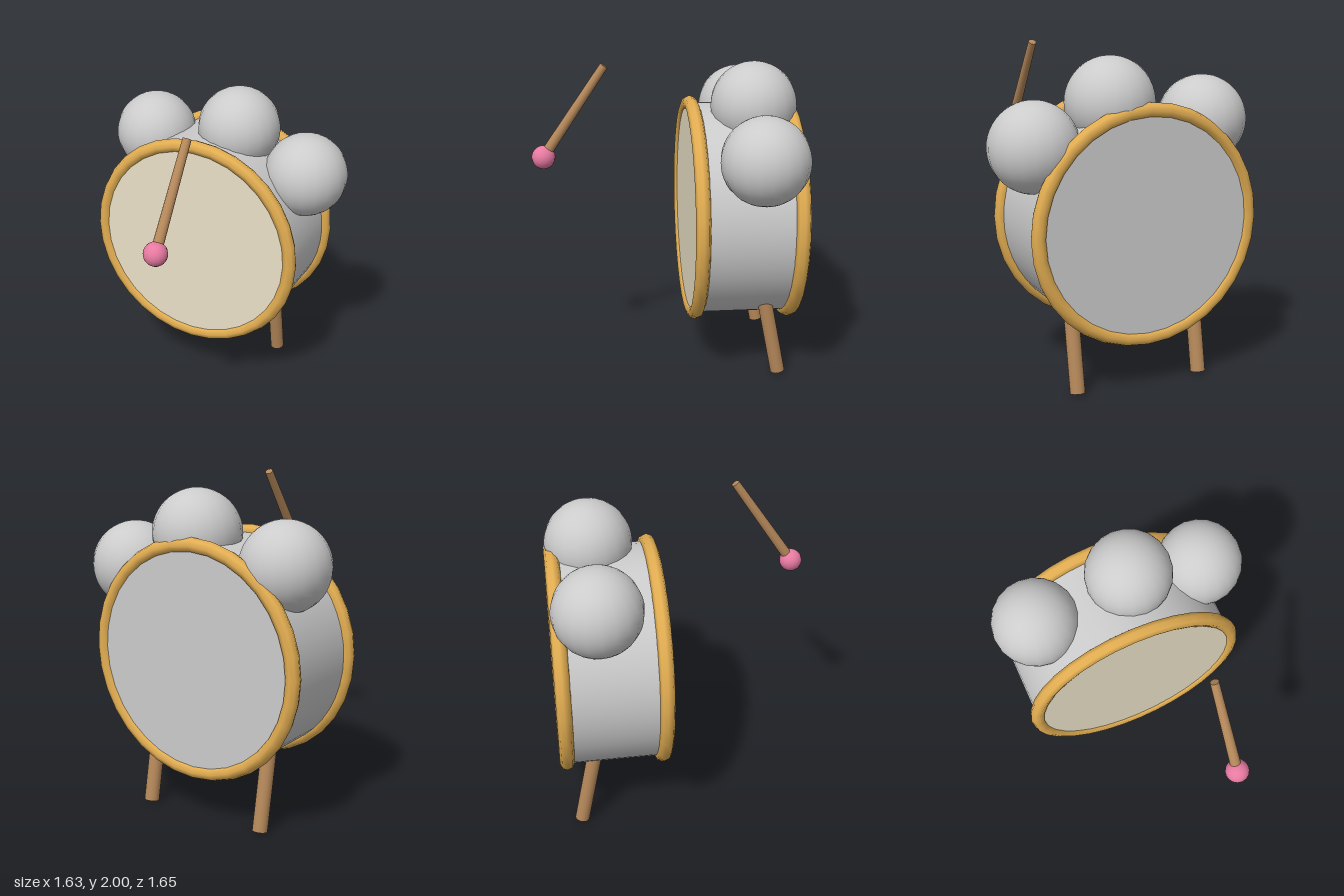
import * as THREE from 'three';

const material = (color) => new THREE.MeshStandardMaterial({ color });
const grey = material(0xcccccc);
const gold = material(0xe3ae52);
const wood = material(0xb5885a);
const cream = material(0xe9e0c6);
const pink = material(0xe87aa2);

function part(parent, name, geometry, mat, x, y, z) {
  const mesh = new THREE.Mesh(geometry, mat);
  mesh.name = name;
  mesh.position.set(x, y, z);
  parent.add(mesh);
  return mesh;
}

// Round rod running from one point to another
function rod(parent, name, from, to, rFrom, rTo) {
  const a = new THREE.Vector3(...from);
  const b = new THREE.Vector3(...to);
  const dir = b.clone().sub(a);
  const mid = a.clone().add(b).multiplyScalar(0.5);
  const mesh = part(parent, name, new THREE.CylinderGeometry(rTo, rFrom, dir.length(), 16), wood, mid.x, mid.y, mid.z);
  mesh.quaternion.setFromUnitVectors(new THREE.Vector3(0, 1, 0), dir.normalize());
  return mesh;
}

export function createModel() {
  const model = new THREE.Group();
  model.name = 'drum';

  // Drum body, lying with its axis along z
  const drum = new THREE.Group();
  drum.name = 'drumBody';
  drum.position.set(-0.07, 1, -0.48);
  model.add(drum);
  const shell = part(drum, 'shell', new THREE.CylinderGeometry(0.68, 0.68, 0.6, 48, 1, true), grey, 0, 0, 0);
  shell.rotation.x = Math.PI / 2;

  // Skins at both ends, sitting inside the hoops
  part(drum, 'frontSkin', new THREE.CircleGeometry(0.66, 48), cream, 0, 0, 0.325);
  part(drum, 'backSkin', new THREE.CircleGeometry(0.66, 48), grey, 0, 0, -0.325).rotation.y = Math.PI;

  // Hoops
  for (const [name, z] of [['frontHoop', 0.3], ['backHoop', -0.3]]) {
    part(drum, name, new THREE.TorusGeometry(0.68, 0.045, 8, 32), gold, 0, 0, z);
  }

  // Slanted back legs, reaching into the shell
  for (const [name, x] of [['rightLeg', -0.48], ['leftLeg', 0.34]]) {
    rod(model, name, [x, 0.01, -0.706], [x, 0.52, -0.604], 0.046, 0.046);
  }

  // Balls resting on top of the shell
  const ball = new THREE.SphereGeometry(0.268, 20, 24);
  [[-0.55, 1.57], [0.065, 1.707], [0.542, 1.475]].forEach(([x, y], i) => {
    part(model, 'ball' + (i + 1), ball, grey, x, y, -0.55);
  });

  // Floating mallet in front
  const mallet = new THREE.Group();
  mallet.name = 'mallet';
  model.add(mallet);
  rod(mallet, 'malletStick', [0.175, 1.43, 0.752], [0.175, 1.985, 0.375], 0.033, 0.026);
  part(mallet, 'malletHead', new THREE.SphereGeometry(0.072, 16, 12), pink, 0.175, 1.43, 0.752);

  return model;
}
